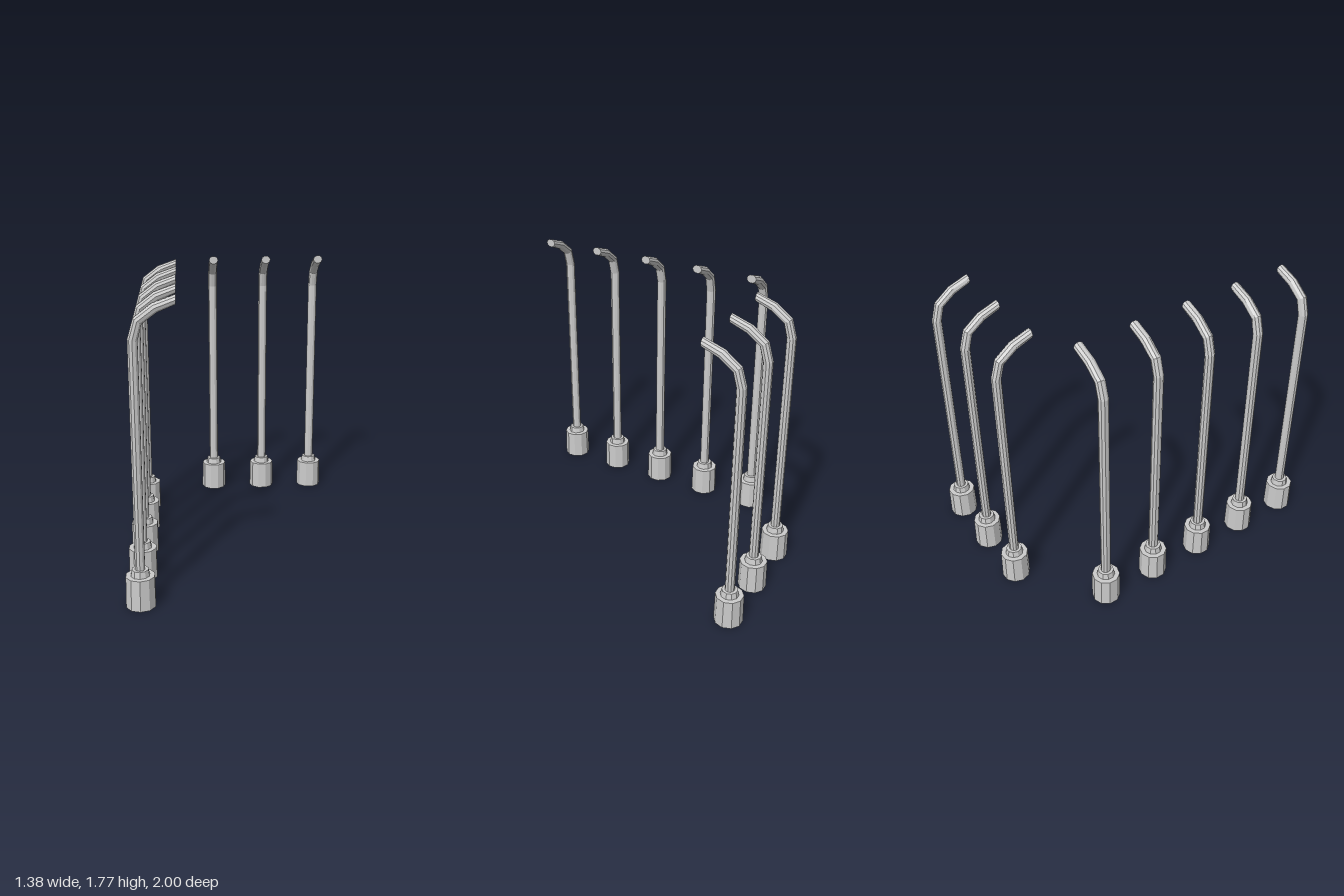
import * as THREE from 'three';

const SIDES = 10;
const material = new THREE.MeshStandardMaterial({ color: 0xcccccc, flatShading: true, side: THREE.DoubleSide });

// Bent pole: rings of [z, y, tilt in degrees], mitred at each bend, leaning to +z
function poleGeometry() {
  const sections = [[0, 0.2, 0], [0, 1.535, 8], [0.028, 1.635, 34], [0.118, 1.703, 61], [0.228, 1.745, 90]];
  const pos = [], index = [];
  sections.forEach(([z, y, deg], s) => {
    const t = THREE.MathUtils.degToRad(deg);
    const depth = s === sections.length - 1 ? 0.027 : 0.029;
    for (let j = 0; j < SIDES; j++) {
      const a = (j / SIDES) * Math.PI * 2;
      const d = Math.sin(a) * depth;
      pos.push(Math.cos(a) * 0.031, y - d * Math.sin(t), z + d * Math.cos(t));
      if (s === 0) continue;
      const k = (j + 1) % SIDES, lo = (s - 1) * SIDES, hi = s * SIDES;
      index.push(lo + j, hi + j, lo + k, lo + k, hi + j, hi + k);
    }
  });
  // End cap
  const [z, y] = sections[sections.length - 1];
  const last = (sections.length - 1) * SIDES;
  pos.push(0, y, z);
  for (let j = 0; j < SIDES; j++) index.push(last + SIDES, last + (j + 1) % SIDES, last + j);
  const g = new THREE.BufferGeometry();
  g.setAttribute('position', new THREE.Float32BufferAttribute(pos, 3));
  g.setIndex(index);
  g.computeVertexNormals();
  return g;
}

// Socket with stepped collar, open at the bottom
function socketGeometry() {
  const profile = [[0.088, 0], [0.085, 0.187], [0.055, 0.187], [0.048, 0.225], [0.02, 0.225]]
    .map(([r, y]) => new THREE.Vector2(r, y));
  return new THREE.LatheGeometry(profile, SIDES, Math.PI / SIDES);
}

export function createModel() {
  const model = new THREE.Group();
  model.name = 'lampPosts';
  const pole = poleGeometry();
  const socket = socketGeometry();

  const addPost = (name, x, z, turn) => {
    const post = new THREE.Group();
    post.name = name;
    for (const [part, geometry] of [['pole', pole], ['socket', socket]]) {
      const mesh = new THREE.Mesh(geometry, material);
      mesh.name = part;
      post.add(mesh);
    }
    post.position.set(x, 0, z);
    post.rotation.y = turn;
    model.add(post);
  };

  // Side row leans to +x, back row leans to +z
  for (let i = 0; i < 5; i++) addPost(`sidePost${i + 1}`, -0.611, 0.911 - i * 0.364, Math.PI / 2);
  for (let i = 0; i < 3; i++) addPost(`backPost${i + 1}`, -0.125 + i * 0.3625, -0.915, 0);
  return model;
}
